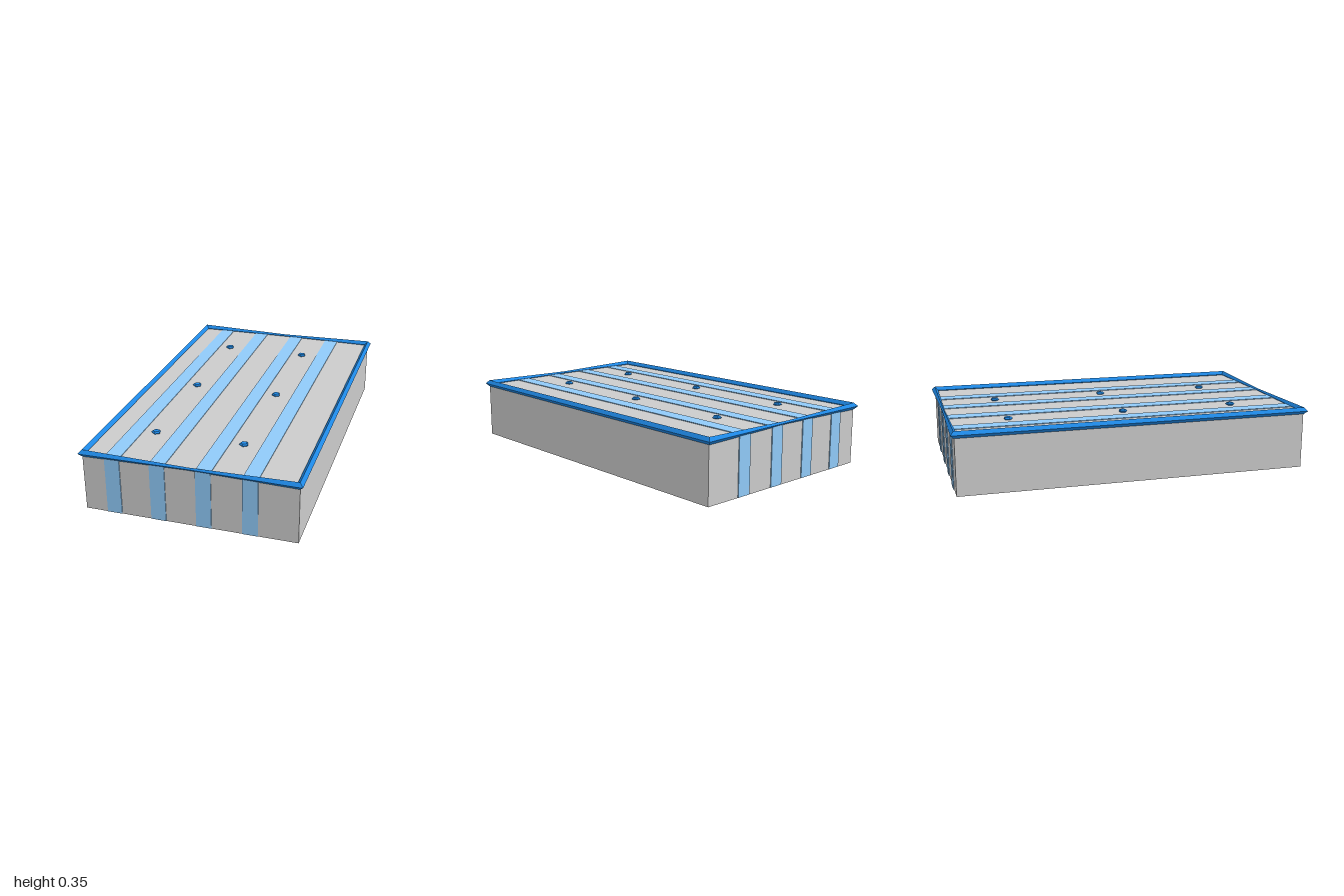
import * as THREE from 'three';

const grey = new THREE.MeshStandardMaterial({ color: 0xcccccc });
const paleBlue = new THREE.MeshStandardMaterial({ color: 0x90caf9 });
const blue = new THREE.MeshStandardMaterial({ color: 0x1e88e5, flatShading: true });

// Closed diamond-section piping; rings sit at the corners and edge midpoints
function pipingGeometry(halfX, halfZ, y, r) {
  // x sign, z sign, section scale (the end edges pinch in the middle)
  const rings = [
    [-1, 1, 1], [0, 1, 0.42], [1, 1, 1], [1, 0, 1],
    [1, -1, 1], [0, -1, 0.42], [-1, -1, 1], [-1, 0, 1],
  ];
  const section = [[1, 0], [0, 1.1], [-1, 0], [0, -1.1]]; // outward, up
  const positions = [];
  const index = [];
  rings.forEach(([sx, sz, s], i) => {
    section.forEach(([out, up], k) => {
      positions.push(sx * (halfX + out * r * s), y + up * r * s, sz * (halfZ + out * r * s));
      const next = ((i + 1) % rings.length) * 4;
      const a = i * 4 + k, a2 = i * 4 + (k + 1) % 4;
      const b = next + k, b2 = next + (k + 1) % 4;
      index.push(a, b, a2, b, b2, a2);
    });
  });
  const geometry = new THREE.BufferGeometry();
  geometry.setAttribute('position', new THREE.Float32BufferAttribute(positions, 3));
  geometry.setIndex(index);
  geometry.computeVertexNormals();
  return geometry;
}

export function createModel() {
  const model = new THREE.Group();
  model.name = 'mattress';

  const add = (name, geometry, material, x, y, z) => {
    const mesh = new THREE.Mesh(geometry, material);
    mesh.name = name;
    mesh.position.set(x, y, z);
    model.add(mesh);
  };

  // Padded block
  add('body', new THREE.BoxGeometry(1.152, 0.325, 1.96), grey, 0, 0.1625, 0);

  // Slightly raised stripes over the top and both ends
  const stripe = new THREE.BoxGeometry(0.082, 0.327, 1.97);
  for (const x of [-0.412, -0.166, 0.08, 0.326]) {
    add('stripe', stripe, paleBlue, x, 0.1655, 0);
  }

  // Piping around the top edge
  add('piping', pipingGeometry(0.575, 0.982, 0.33, 0.018), blue, 0, 0, 0);

  // Five-sided tufting buttons
  const button = new THREE.SphereGeometry(0.026, 5, 4, Math.PI / 2).scale(1, 0.5, 1);
  for (const x of [-0.3, 0.193]) {
    for (const z of [-0.66, -0.005, 0.65]) add('button', button, blue, x, 0.33, z);
  }

  return model;
}
